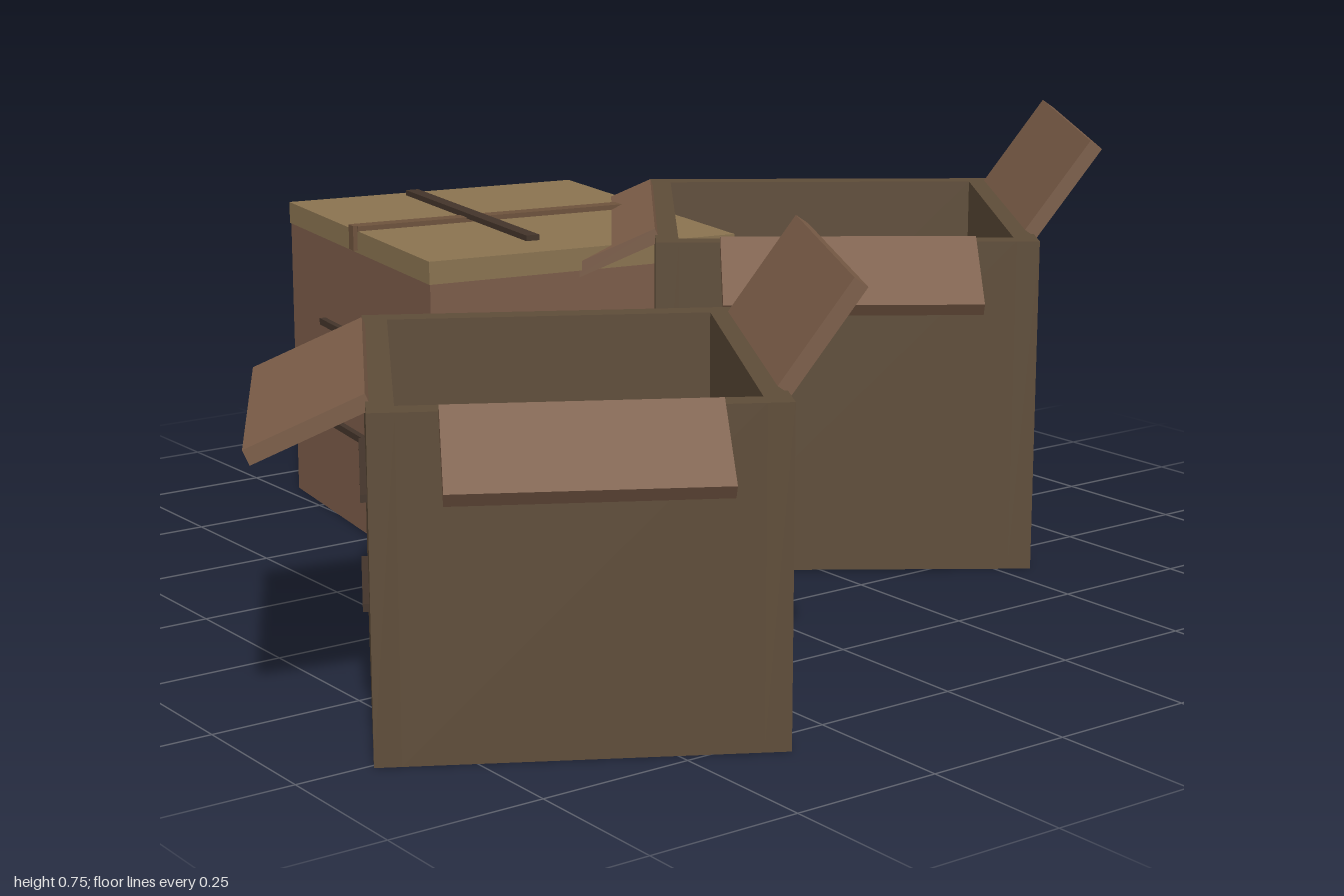
import * as THREE from 'three';

const COLORS = {
  closedBody: 0x7c5c49, lid: 0x8a7350, openWall: 0x5e4c38,
  flap: 0x7a5c47, floor: 0x47413a, tape: 0x6e533d, slot: 0x43342a,
};
const materials = {};
for (const key in COLORS) materials[key] = new THREE.MeshStandardMaterial({ color: COLORS[key] });

function addBox(parent, name, size, pos, material) {
  const mesh = new THREE.Mesh(new THREE.BoxGeometry(...size), materials[material]);
  mesh.position.set(...pos);
  mesh.name = name;
  parent.add(mesh);
  return mesh;
}

function placedGroup(name, x, z, degrees) {
  const g = new THREE.Group();
  g.name = name;
  g.position.set(x, 0, z);
  g.rotation.y = -THREE.MathUtils.degToRad(degrees);
  return g;
}

// Two dark bars across the front face
function addFrontBars(g, d, upperY, lowerY) {
  addBox(g, 'upperFrontBar', [0.338, 0.012, 0.012], [0, upperY, d / 2 + 0.004], 'slot');
  addBox(g, 'lowerFrontBar', [0.25, 0.012, 0.012], [0, lowerY, d / 2 + 0.004], 'slot');
}

// Flap hinged on a rim edge; turn picks the side, tilt is degrees above level
function addFlap(g, name, turn, reach, h, width, length, tilt) {
  const side = new THREE.Group();
  side.name = name + 'Hinge';
  side.rotation.y = turn;
  g.add(side);
  const hinge = new THREE.Group();
  hinge.position.set(0, h, reach);
  hinge.rotation.x = -THREE.MathUtils.degToRad(tilt);
  side.add(hinge);
  addBox(hinge, name, [width, 0.025, length], [0, 0, length / 2], 'flap');
}

function openBox(name, x, z, degrees, w, h, d) {
  const g = placedGroup(name, x, z, degrees);
  const t = 0.04;
  for (const s of [-1, 1]) {
    addBox(g, s > 0 ? 'frontWall' : 'backWall', [w, h, t], [0, h / 2, s * (d - t) / 2], 'openWall');
    addBox(g, s > 0 ? 'leftWall' : 'rightWall', [t, h, d - 2 * t], [s * (w - t) / 2, h / 2, 0], 'openWall');
  }
  addBox(g, 'floor', [w - 0.004, 0.05, d - 0.004], [0, 0.025, 0], 'floor');
  addFlap(g, 'backFlap', Math.PI, d / 2 - 0.005, h, w * 0.79, 0.19, 55);
  addFlap(g, 'sideFlap', Math.PI / 2, w / 2 - 0.005, h, d * 0.665, 0.165, -34);
  addFlap(g, 'frontFlap', 0, d / 2 - 0.005, h, w * 0.79, 0.19, -24);
  return g;
}

function closedBox(name, x, z, degrees, w, h, d) {
  const g = placedGroup(name, x, z, degrees);
  const lidT = 0.04;
  addBox(g, 'body', [w - 0.004, h - lidT, d - 0.004], [0, (h - lidT) / 2, 0], 'closedBody');
  addBox(g, 'lid', [w, lidT, d], [0, h - lidT / 2, 0], 'lid');
  // Crossed tape on the lid, with a short end folded over the front
  addBox(g, 'longTape', [0.03, 0.01, d - 0.06], [0, h + 0.004, 0.03], 'tape');
  addBox(g, 'tapeEnd', [0.022, 0.045, 0.01], [0, h - 0.013, d / 2 + 0.003], 'tape');
  addBox(g, 'crossTape', [0.555, 0.01, 0.025], [0, h + 0.012, 0.07], 'slot');
  addFrontBars(g, d, 0.365, 0.18);
  return g;
}

export function createModel() {
  const model = new THREE.Group();
  model.name = 'cardboardBoxes';
  model.add(closedBox('closedBox', -0.5, -0.015, 9.2, 0.69, 0.563, 0.588));
  model.add(openBox('largeOpenBox', -0.12, -0.483, 35.3, 0.692, 0.585, 0.659));
  const small = openBox('smallOpenBox', 0.37, 0.45, 30, 0.67, 0.52, 0.602);
  addFrontBars(small, 0.602, 0.352, 0.172);
  model.add(small);
  return model;
}
